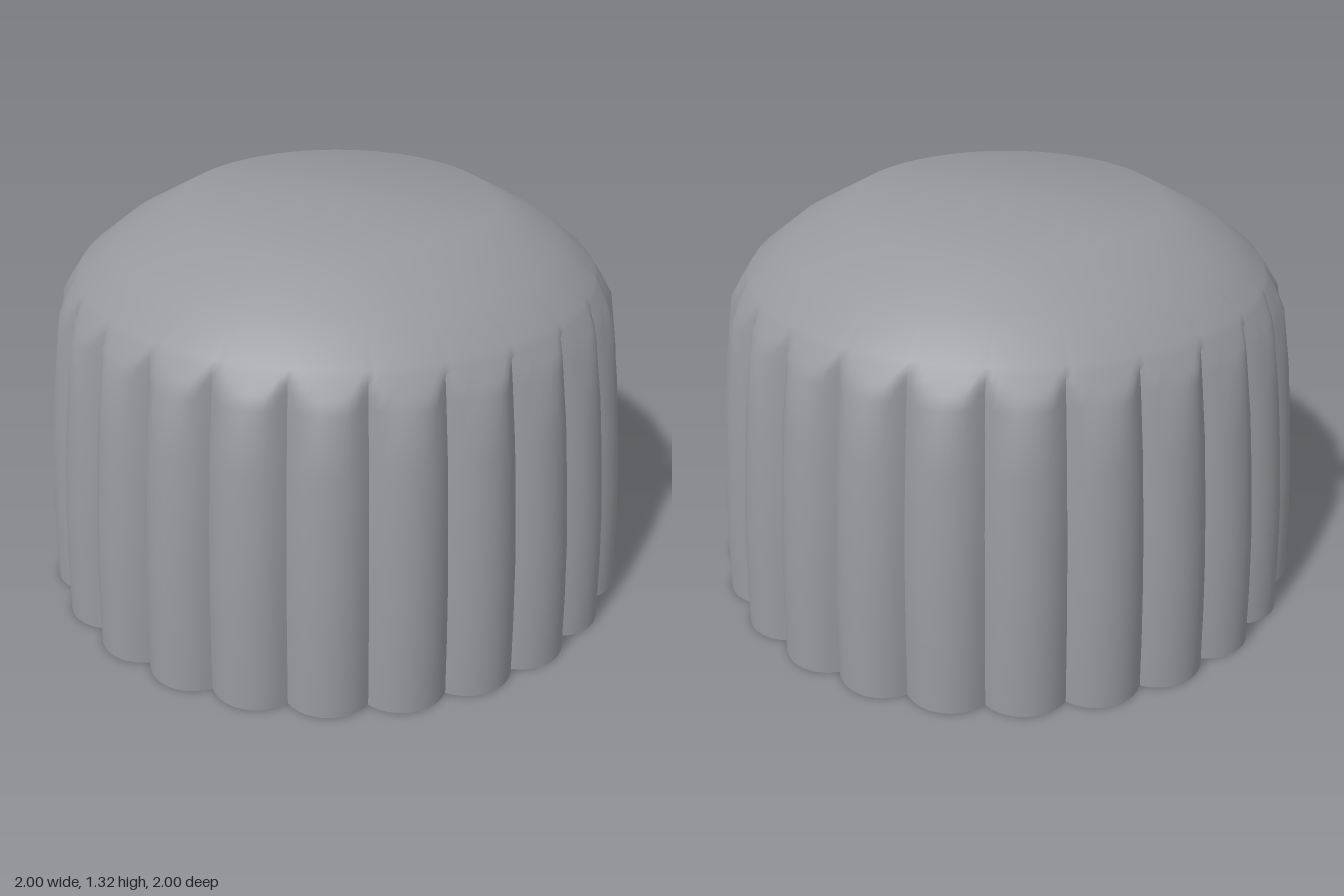
import * as THREE from 'three';
import { toCreasedNormals } from 'three/addons/utils/BufferGeometryUtils.js';

const LOBES = 24, SEGS = 12, COUNT = LOBES * SEGS;
const HALF = Math.PI / LOBES;
const LOBE_RADIUS = 0.15;
const HOLE_RADIUS = 0.178, HOLE_DEPTH = 0.8;

// Side rows: [outer reach of the fluted wall, height, limit set by the dome]
const rows = [
  [1, 0, 2], [0.995, 0.2, 2], [0.985, 0.4, 2], [0.967, 0.6, 2], [0.945, 0.8, 2],
  [0.915, 0.99, 0.924], [0.908, 1.03, 0.897], [0.902, 1.06, 0.877],
  [0.898, 1.08, 0.864], [0.894, 1.1, 0.85],
  [2, 1.2, 0.725], [2, 1.315, 0.52], [2, 1.315, 0],
];

// Radius of a ring of round flutes, cut off by the dome
function radiusAt(step, [reach, , limit]) {
  const t = ((step % SEGS) / SEGS) * 2 * HALF - HALF;
  const c = (reach - LOBE_RADIUS) / Math.cos(HALF);
  const under = LOBE_RADIUS ** 2 - (c * Math.sin(t)) ** 2;
  const flute = c * Math.cos(t) + Math.sqrt(Math.max(under, 0));
  return Math.min(flute, limit);
}

function pointAt(step, row) {
  const angle = (step / COUNT) * Math.PI * 2;
  const r = radiusAt(step, row);
  return [r * Math.cos(angle), row[1], -r * Math.sin(angle)];
}

// Fluted wall and dome as one skin, sharp only in the grooves
function shellGeometry() {
  const pos = [];
  for (let i = 0; i < rows.length - 1; i++) {
    for (let j = 0; j < COUNT; j++) {
      const k = (j + 1) % COUNT;
      const a = pointAt(j, rows[i]), b = pointAt(k, rows[i]);
      const c = pointAt(k, rows[i + 1]), d = pointAt(j, rows[i + 1]);
      pos.push(...a, ...b, ...c);
      if (rows[i + 1][2] > 0) pos.push(...a, ...c, ...d);
    }
  }
  const geo = new THREE.BufferGeometry();
  geo.setAttribute('position', new THREE.Float32BufferAttribute(pos, 3));
  return toCreasedNormals(geo, 0.8);
}

// Flat underside with the shaft opening
function baseGeometry() {
  const outline = [];
  for (let j = 0; j < COUNT; j++) {
    const [x, , z] = pointAt(j, rows[0]);
    outline.push(new THREE.Vector2(x, z));
  }
  const shape = new THREE.Shape(outline);
  const hole = new THREE.Path();
  hole.absarc(0, 0, HOLE_RADIUS, 0, Math.PI * 2, true);
  shape.holes.push(hole);
  return new THREE.ShapeGeometry(shape, 24).rotateX(Math.PI / 2);
}

// Blind shaft hole, facing inwards
function holeGeometry() {
  const profile = [[0, HOLE_DEPTH], [HOLE_RADIUS, HOLE_DEPTH], [HOLE_RADIUS, 0]];
  const lathe = new THREE.LatheGeometry(profile.map(([x, y]) => new THREE.Vector2(x, y)), 48);
  return toCreasedNormals(lathe, 0.8);
}

export function createModel() {
  const group = new THREE.Group();
  group.name = 'flutedKnob';
  const grey = new THREE.MeshStandardMaterial({ color: 0x97989c });
  grey.name = 'grey';

  const add = (name, geometry) => {
    const mesh = new THREE.Mesh(geometry, grey);
    mesh.name = name;
    group.add(mesh);
  };
  add('flutedShell', shellGeometry());
  add('underside', baseGeometry());
  add('shaftHole', holeGeometry());
  return group;
}
